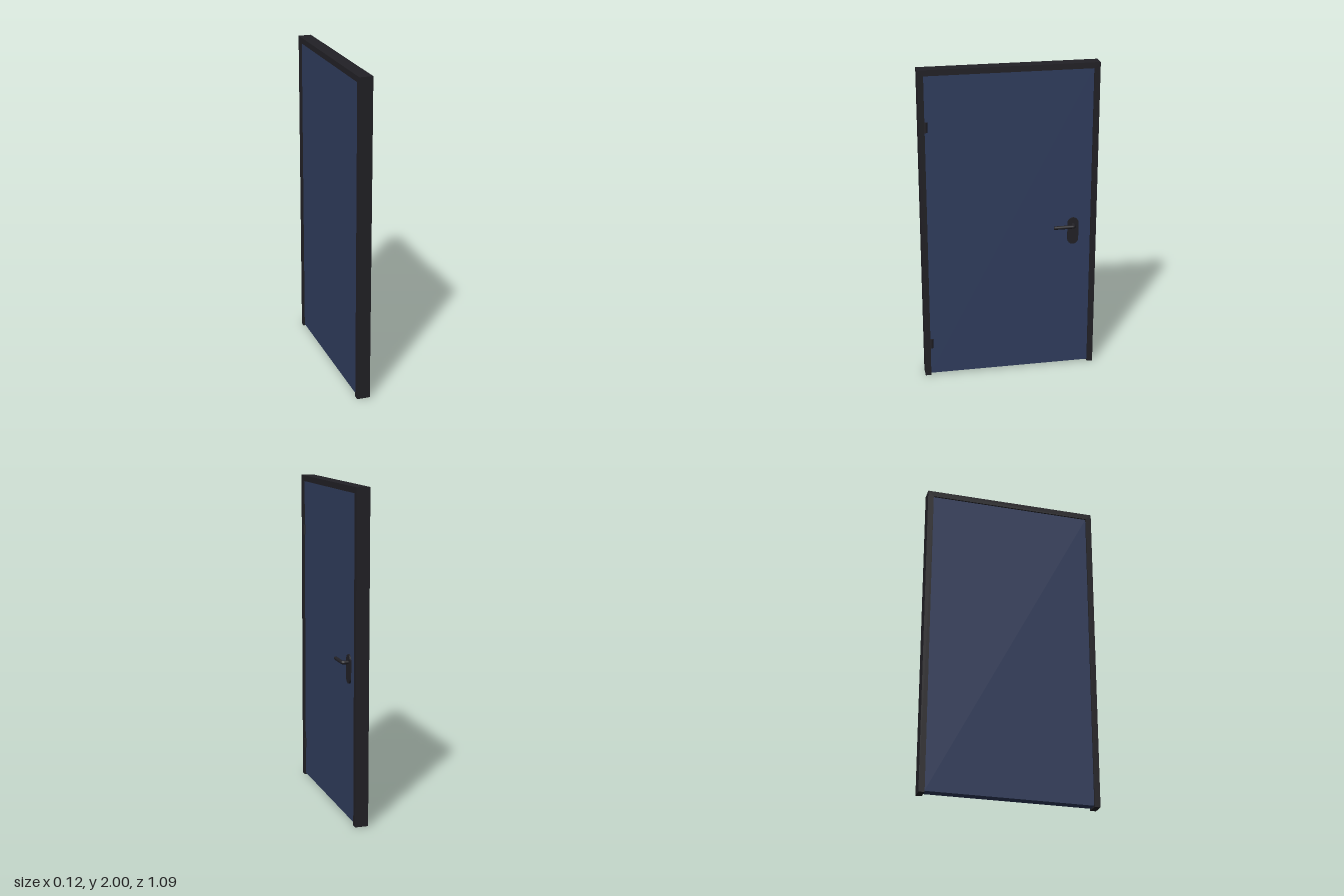
import * as THREE from 'three';

const dark = new THREE.MeshStandardMaterial({ color: 0x222126 });
const blue = new THREE.MeshStandardMaterial({ color: 0x303d5e });

const HALF = 0.547;       // half width of the frame
const BACK = -0.063;      // back and front planes of the frame
const FRONT = 0.018;
const TRIM = 0.036;       // visible frame width
const LEAF_FRONT = 0.008;
const LEAF_BACK = -0.054;

function add(parent, name, geometry, material) {
  const mesh = new THREE.Mesh(geometry, material);
  mesh.name = name;
  parent.add(mesh);
  return mesh;
}

// Extrude an outline drawn in (-z, y) along x, between x0 and x1
function extrudeX(shape, x0, x1) {
  const g = new THREE.ExtrudeGeometry(shape, { depth: x1 - x0, bevelEnabled: false, curveSegments: 16 });
  return g.rotateY(Math.PI / 2).translate(x0, 0, 0);
}

export function createModel() {
  const door = new THREE.Group();
  door.name = 'door';

  // Frame: two jambs and a header, open at the floor
  const inner = HALF - TRIM;
  const outline = new THREE.Shape([
    [-HALF, 0], [-inner, 0], [-inner, 2 - TRIM], [inner, 2 - TRIM],
    [inner, 0], [HALF, 0], [HALF, 2], [-HALF, 2],
  ].map(([a, b]) => new THREE.Vector2(a, b)));
  add(door, 'frame', extrudeX(outline, BACK, FRONT), dark);

  // Door leaf with a small gap above the floor
  const bottom = 0.01, top = 2 - TRIM;
  const leaf = add(door, 'doorLeaf',
    new THREE.BoxGeometry(LEAF_FRONT - LEAF_BACK, top - bottom, inner * 2), blue);
  leaf.position.set((LEAF_FRONT + LEAF_BACK) / 2, (top + bottom) / 2, 0);

  // Hinge barrels
  for (const [name, y] of [['lowerHinge', 0.222], ['upperHinge', 1.652]]) {
    const hinge = add(door, name, new THREE.CylinderGeometry(0.013, 0.013, 0.062, 20), dark);
    hinge.position.set(0.0085, y, 0.505);
  }

  // Handle: rounded backplate and bent lever
  const handle = new THREE.Group();
  handle.name = 'handle';
  door.add(handle);

  const r = 0.0345, c = 0.4;
  const plate = new THREE.Shape();
  plate.absarc(c, 1.017 - r, r, 0, Math.PI, false);
  plate.absarc(c, 0.842 + r, r, Math.PI, Math.PI * 2, false);
  add(handle, 'backplate', extrudeX(plate, LEAF_FRONT, 0.017), dark);

  const y = 0.97, z = -0.401, x = 0.051, bend = 0.012, rod = 0.011;
  const path = new THREE.CurvePath();
  const p = (px, pz) => new THREE.Vector3(px, y, pz);
  path.add(new THREE.LineCurve3(p(LEAF_FRONT, z), p(x - bend, z)));
  path.add(new THREE.QuadraticBezierCurve3(p(x - bend, z), p(x, z), p(x, z + bend)));
  path.add(new THREE.LineCurve3(p(x, z + bend), p(x, -0.272)));
  add(handle, 'lever', new THREE.TubeGeometry(path, 60, rod, 16, false), dark);

  const cap = add(handle, 'leverEnd', new THREE.CircleGeometry(rod, 16), dark);
  cap.position.set(x, y, -0.272);

  return door;
}
